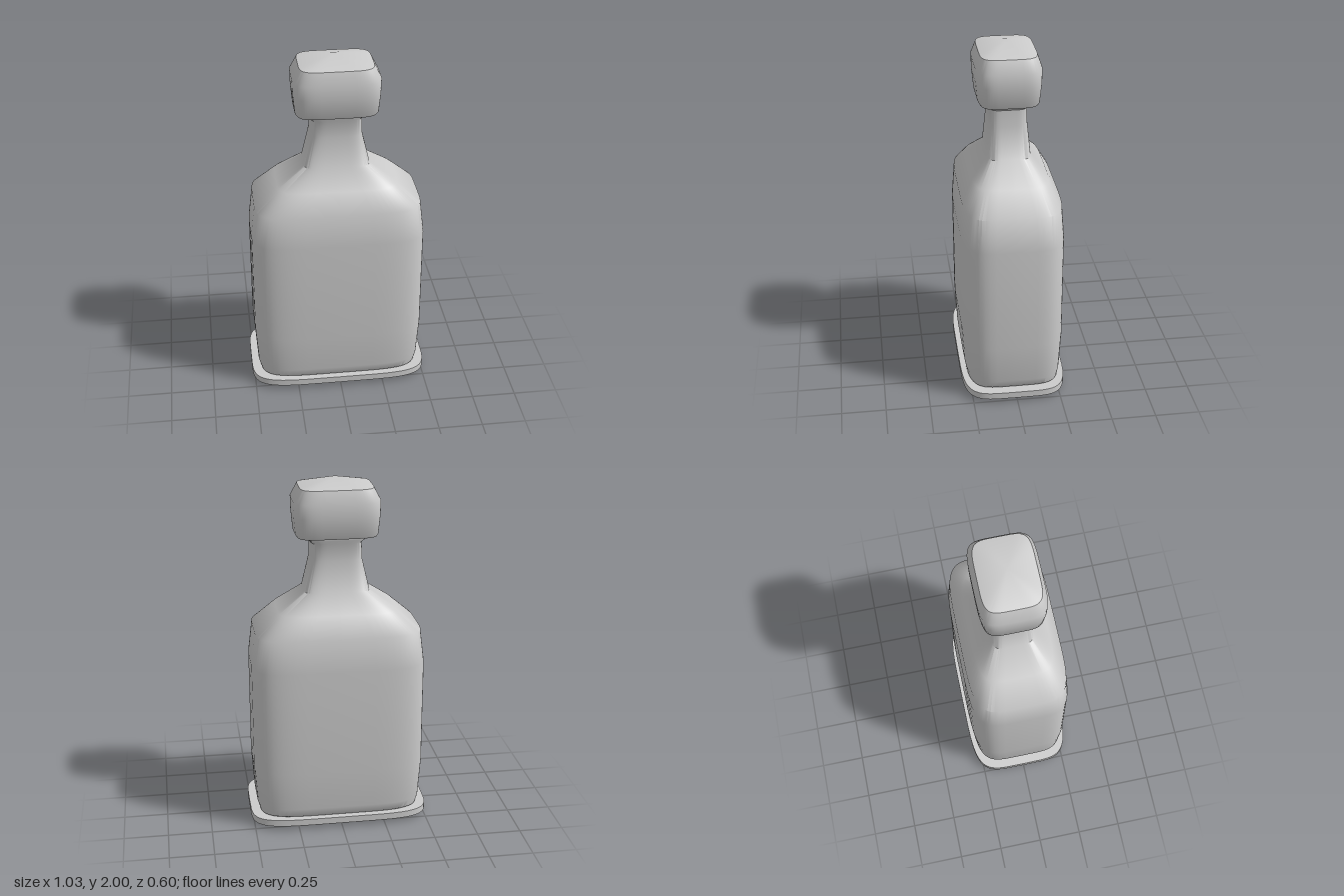
import * as THREE from 'three';
import { toCreasedNormals } from 'three/addons/utils/BufferGeometryUtils.js';

const SEGMENTS = 64;
const ROUNDNESS = 5; // superellipse exponent of the cross-section

// Skins rounded-rectangle rings [y, halfWidth, halfDepth], closed by a point at each end
function loft(name, bottomY, rings, topY, crease = 0.6) {
  const positions = [];
  const index = [];
  const soft = (v) => Math.sign(v) * Math.pow(Math.abs(v), 2 / ROUNDNESS);
  for (const [y, hx, hz] of rings) {
    for (let i = 0; i < SEGMENTS; i++) {
      const a = (i / SEGMENTS) * Math.PI * 2;
      positions.push(hx * soft(Math.sin(a)), y, hz * soft(Math.cos(a)));
    }
  }
  const bottom = rings.length * SEGMENTS;
  const top = bottom + 1;
  positions.push(0, bottomY, 0, 0, topY, 0);

  const last = (rings.length - 1) * SEGMENTS;
  for (let i = 0; i < SEGMENTS; i++) {
    const j = (i + 1) % SEGMENTS;
    for (let r = 0; r < last; r += SEGMENTS) {
      const a = r + i, b = r + j, c = b + SEGMENTS, d = a + SEGMENTS;
      index.push(a, b, c, a, c, d);
    }
    index.push(bottom, j, i, top, last + i, last + j);
  }
  const geometry = new THREE.BufferGeometry();
  geometry.setAttribute('position', new THREE.Float32BufferAttribute(positions, 3));
  geometry.setIndex(index);
  const mesh = new THREE.Mesh(
    toCreasedNormals(geometry, crease),
    new THREE.MeshStandardMaterial({ color: 0xcccccc })
  );
  mesh.name = name;
  return mesh;
}

export function createModel() {
  const model = new THREE.Group();
  model.name = 'bottle';

  // Thin foot plate with a shallow pointed underside
  model.add(loft('footPlate', 0.005, [
    [0.03, 0.515, 0.3],
    [0.068, 0.515, 0.3],
  ], 0.068));

  // Body, sloping shoulders, tapered neck and flared lip
  model.add(loft('bottleBody', 0.06, [
    [0.06, 0.44, 0.25],
    [0.075, 0.463, 0.268],
    [0.12, 0.475, 0.275],
    [0.35, 0.49, 0.287],
    [0.96, 0.49, 0.288],
    [1.15, 0.467, 0.275],
    [1.265, 0.335, 0.212],
    [1.37, 0.185, 0.124],
    [1.55, 0.143, 0.108],
    [1.645, 0.141, 0.107],
    [1.665, 0.163, 0.117],
    [1.675, 0.163, 0.117],
    [1.682, 0.135, 0.1],
  ], 1.682, 0.75));

  // Block stopper with a pyramid top
  model.add(loft('stopper', 1.68, [
    [1.685, 0.222, 0.162],
    [1.695, 0.228, 0.168],
    [1.8, 0.238, 0.178],
    [1.88, 0.24, 0.18],
    [1.952, 0.203, 0.155],
  ], 2, 0.75));

  return model;
}
